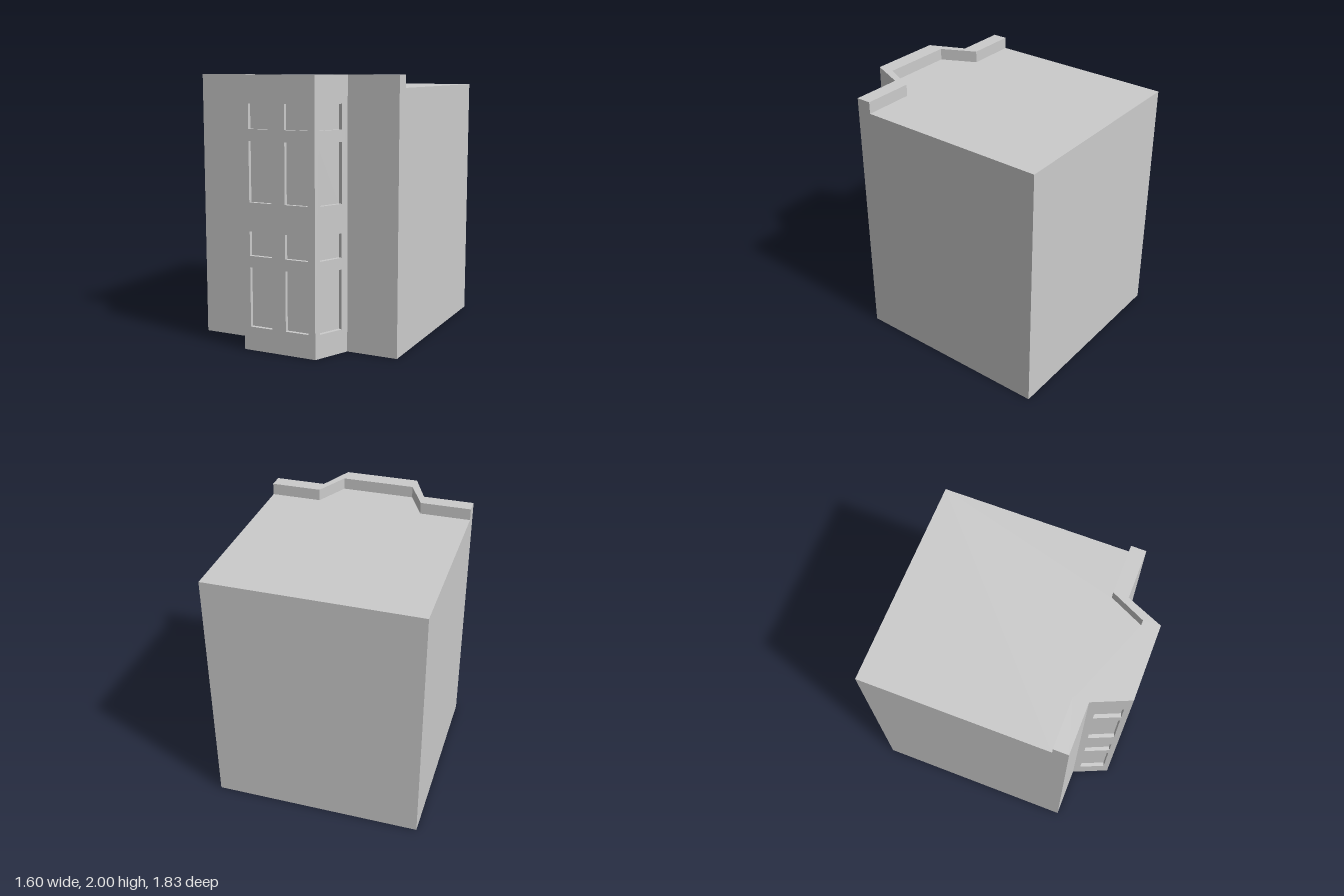
import * as THREE from 'three';

const material = new THREE.MeshStandardMaterial({ color: 0xcccccc, side: THREE.DoubleSide, flatShading: true });
const TOP = 2, ROOF = 1.91, DEPTH = 0.03;

// Plan corners as [x, z], running from -x to +x along the front
const front = [[-0.8, 0.64], [-0.41, 0.64], [-0.29, 0.915], [0.29, 0.915], [0.41, 0.64], [0.8, 0.64]];
const inner = [[-0.8, 0.525], [-0.41, 0.525], [-0.283, 0.787], [0.283, 0.787], [0.41, 0.525], [0.8, 0.525]];
const back = [[0.8, -0.915], [-0.8, -0.915]];

// Window rows as [bottom, top]
const rows = [[0.177, 0.62], [0.705, 0.883], [1.095, 1.535], [1.62, 1.8]];

const toShape = (pts) => new THREE.Shape(pts.map(([x, y]) => new THREE.Vector2(x, y)));
const rect = (u0, u1, y0, y1) => [[u0, y0], [u1, y0], [u1, y1], [u0, y1]];

function addMesh(parent, geometry, name) {
  const mesh = new THREE.Mesh(geometry, material);
  mesh.name = name;
  parent.add(mesh);
  return mesh;
}

// Open-fronted box seen from inside: four reveals and a back panel
function recessGeometry(u0, u1, y0, y1) {
  const box = new THREE.BoxGeometry(u1 - u0, y1 - y0, DEPTH);
  const index = Array.from(box.index.array);
  index.splice(24, 6);
  box.setIndex(index.reverse());
  box.clearGroups();
  box.computeVertexNormals();
  return box.translate((u0 + u1) / 2, (y0 + y1) / 2, -DEPTH / 2);
}

// Upright wall from a to b (left to right seen from outside), with window columns cut in
function addWall(parent, name, a, b, outline, columns = []) {
  const group = new THREE.Group();
  group.name = name;
  group.position.set(a[0], 0, a[1]);
  group.rotation.y = Math.atan2(a[1] - b[1], b[0] - a[0]);
  const shape = toShape(outline);
  for (const [u0, u1] of columns) {
    for (const [y0, y1] of rows) {
      shape.holes.push(toShape(rect(u0, u1, y0, y1)));
      addMesh(group, recessGeometry(u0, u1, y0, y1), 'windowRecess');
    }
  }
  addMesh(group, new THREE.ShapeGeometry(shape), name + 'Surface');
  parent.add(group);
}

function addFlat(parent, name, pts, y) {
  const geometry = new THREE.ShapeGeometry(toShape(pts.map(([x, z]) => [x, -z])));
  addMesh(parent, geometry.rotateX(-Math.PI / 2), name).position.y = y;
}

export function createModel() {
  const model = new THREE.Group();
  model.name = 'townhouse';
  const length = (a, b) => Math.hypot(b[0] - a[0], b[1] - a[1]);

  // Front walls and the three faces of the bay
  const names = ['frontWallRight', 'baySideRight', 'bayFront', 'baySideLeft', 'frontWallLeft'];
  names.forEach((name, i) => {
    const a = front[i], b = front[i + 1], w = length(a, b);
    let columns = [];
    if (i === 1) columns = [[w * 0.18, w * 0.85]];
    if (i === 2) columns = [[0.053, 0.235], [0.343, 0.525]];
    if (i === 3) columns = [[w * 0.15, w * 0.82]];
    addWall(model, name, a, b, rect(0, w, 0, TOP), columns);
  });

  // Side walls step up to the parapet; back wall stops at the roof
  const w = 1.555, s = 0.115;
  addWall(model, 'sideWallLeft', front[5], back[0],
    [[0, 0], [w, 0], [w, ROOF], [s, ROOF], [s, TOP], [0, TOP]]);
  addWall(model, 'sideWallRight', back[1], front[0],
    [[0, 0], [w, 0], [w, TOP], [w - s, TOP], [w - s, ROOF], [0, ROOF]]);
  addWall(model, 'backWall', back[0], back[1], rect(0, 1.6, 0, ROOF));

  // Roof, parapet cap and the rear faces of the parapet; the underside stays open
  addFlat(model, 'roof', [...inner, ...back], ROOF);
  addFlat(model, 'parapetCap', [...front, ...[...inner].reverse()], TOP);
  for (let i = 0; i < inner.length - 1; i++) {
    const a = inner[i + 1], b = inner[i];
    addWall(model, 'parapetBack', a, b, rect(0, length(a, b), ROOF, TOP));
  }
  return model;
}
